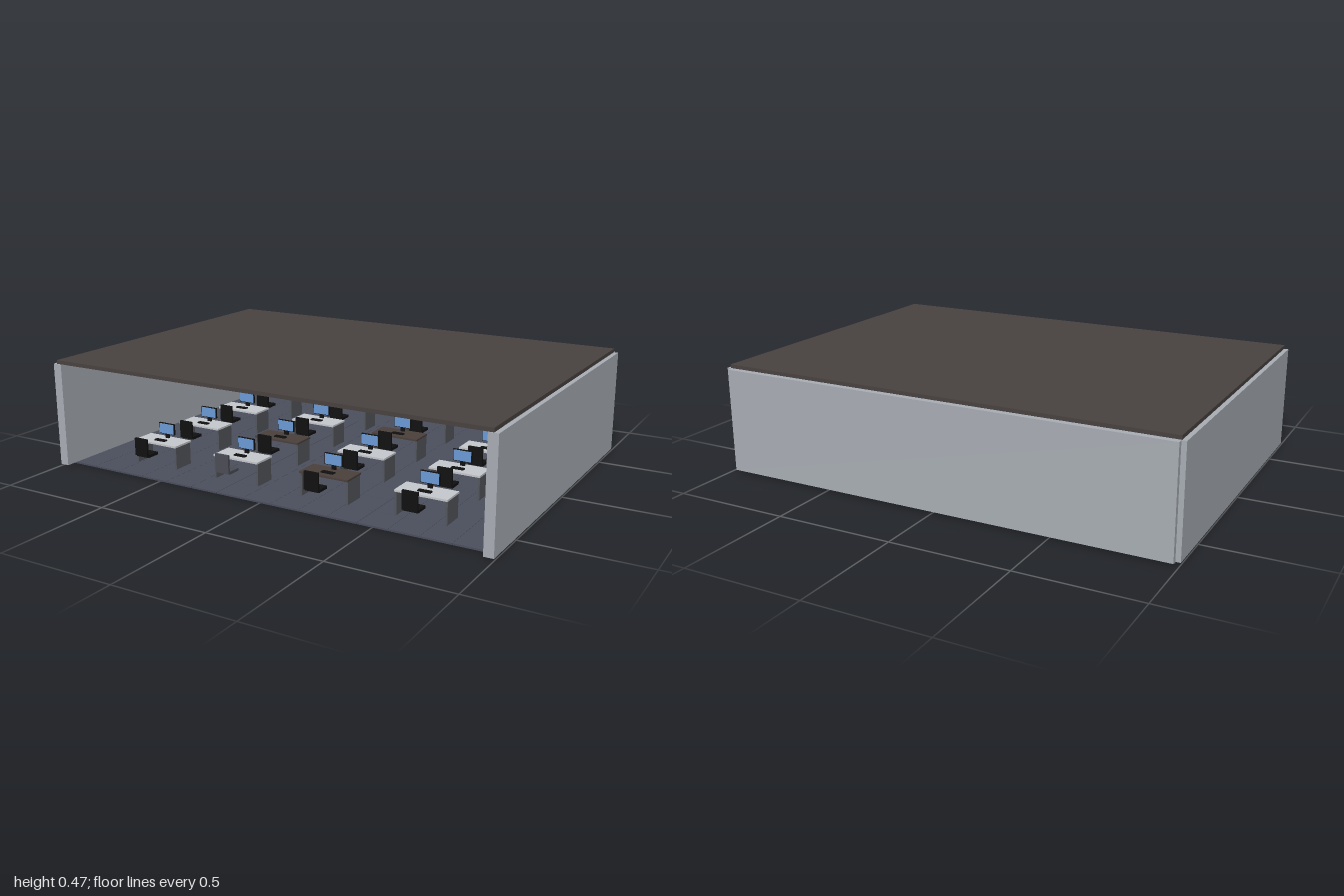
import * as THREE from 'three';

const mat = (name, color) => {
  const m = new THREE.MeshStandardMaterial({ color });
  m.name = name;
  return m;
};

export function createModel() {
  const wall = mat('wall grey', 0xa8adb4);
  const roofBrown = mat('roof brown', 0x48423f);
  const floorSlate = mat('floor slate', 0x4b4e5c);
  const black = mat('black', 0x101010);
  const white = mat('desk light grey', 0xc4c7cb);
  const wood = mat('desk dark wood', 0x4a3f3b);
  const panel = mat('desk panel grey', 0x53565c);
  const blue = mat('screen blue', 0x6a9ad6);
  const chairGrey = mat('chair grey', 0x4a4c55);

  const room = new THREE.Group();
  room.name = 'officeRoom';

  // Box given by its size and centre
  const box = (parent, name, material, w, h, d, x, y, z) => {
    const m = new THREE.Mesh(new THREE.BoxGeometry(w, h, d), material);
    m.name = name;
    m.position.set(x, y, z);
    parent.add(m);
    return m;
  };

  // Shell: side walls, back wall and roof
  for (const s of [-1, 1]) {
    box(room, s > 0 ? 'leftWall' : 'rightWall', wall, 0.04, 0.445, 1.4, s * 0.98, 0.2305, 0.01);
  }
  box(room, 'backWall', wall, 1.96, 0.444, 0.04, 0, 0.23, -0.69);
  box(room, 'roof', roofBrown, 1.964, 0.016, 1.398, 0, 0.462, 0.01);

  // Floor tiles
  const floor = new THREE.Group();
  floor.name = 'floor';
  room.add(floor);
  const nx = 15, nz = 10, tx = 1.93 / nx, tz = 1.345 / nz;
  for (let i = 0; i < nx; i++) {
    for (let j = 0; j < nz; j++) {
      box(floor, 'floorTile', floorSlate, tx - 0.001, 0.007, tz - 0.001,
        -0.98 + (i + 0.5) * tx, 0.0035, -0.69 + (j + 0.5) * tz);
    }
  }

  // Wall board
  box(room, 'wallBoard', black, 0.725, 0.315, 0.012, -0.003, 0.272, -0.664);

  // Desk with side panels, computer and chair
  const makeStation = (topMaterial, chairMaterial) => {
    const g = new THREE.Group();
    g.name = 'workStation';
    box(g, 'deskTop', topMaterial, 0.22, 0.008, 0.105, 0, 0.106, 0);
    for (const s of [-1, 1]) {
      box(g, 'deskPanel', panel, 0.008, 0.095, 0.095, s * 0.105, 0.0545, 0);
    }
    box(g, 'keyboard', black, 0.055, 0.005, 0.02, 0, 0.1125, 0.015);
    box(g, 'monitorStand', black, 0.02, 0.025, 0.008, 0, 0.1225, -0.032);
    box(g, 'monitorBack', black, 0.082, 0.048, 0.008, 0, 0.152, -0.031);
    box(g, 'screen', blue, 0.076, 0.043, 0.003, 0, 0.152, -0.0265);
    box(g, 'chairSeat', chairMaterial, 0.064, 0.012, 0.06, 0, 0.076, 0.105);
    box(g, 'chairBack', chairMaterial, 0.064, 0.076, 0.01, 0, 0.114, 0.138);
    return g;
  };

  // Four rows of four stations, with a lamp above each
  const columns = [-0.63, -0.21, 0.21, 0.63];
  const rows = [0.47, 0.17, -0.13, -0.43];
  const lampShape = new THREE.CylinderGeometry(0.04, 0.034, 0.01, 20);
  rows.forEach((z, r) => {
    columns.forEach((x, c) => {
      const dark = c === (r % 2 === 0 ? 2 : 1);
      const station = makeStation(dark ? wood : white, r === 0 && c === 1 ? chairGrey : black);
      station.position.set(x, 0, z);
      room.add(station);
      const lamp = new THREE.Mesh(lampShape, white);
      lamp.name = 'ceilingLamp';
      lamp.position.set(x, 0.4, z);
      room.add(lamp);
    });
  });

  return room;
}
